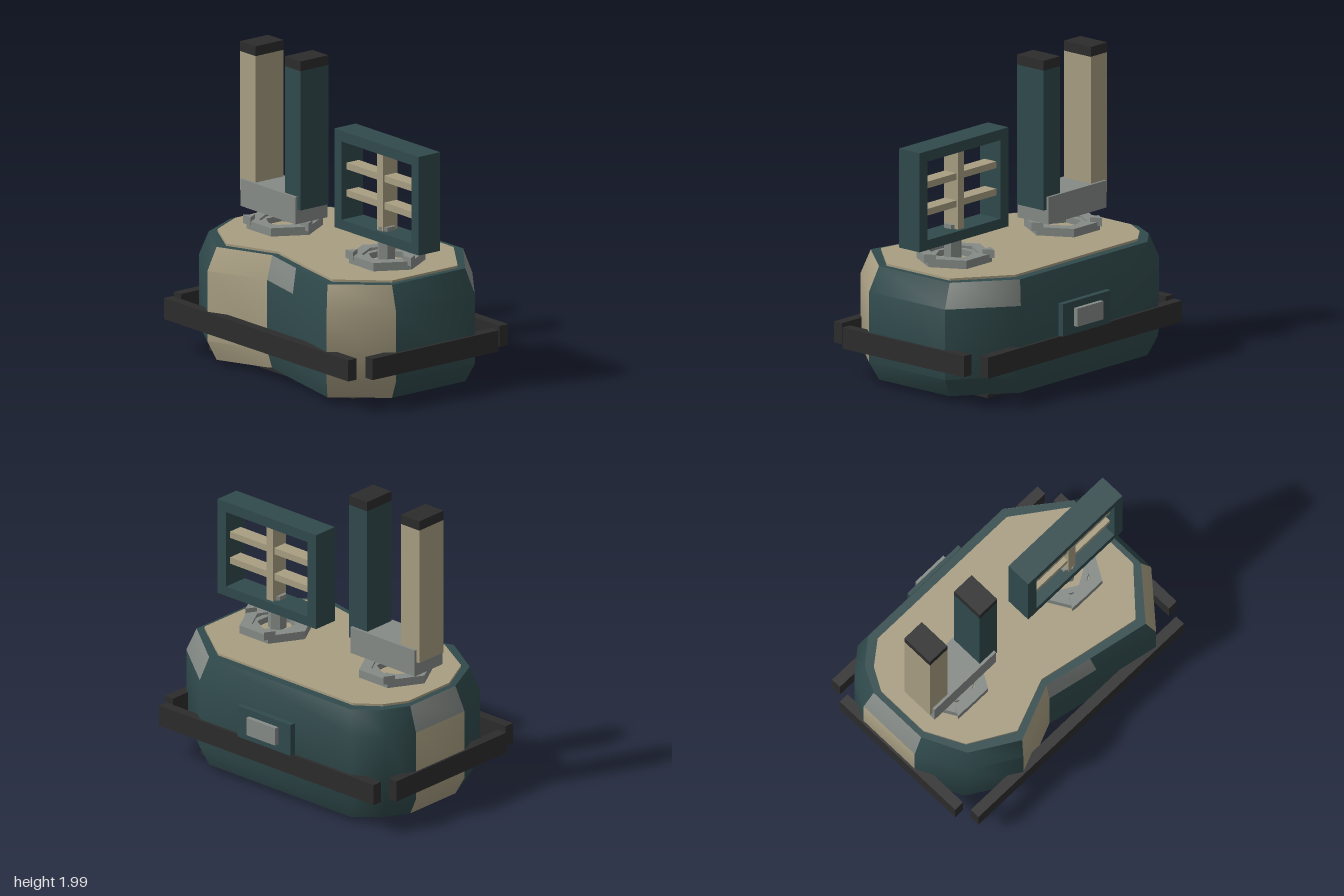
import * as THREE from 'three';
import { toCreasedNormals } from 'three/addons/utils/BufferGeometryUtils.js';

const material = (name, color) => {
  const m = new THREE.MeshStandardMaterial({ color });
  m.name = name;
  return m;
};

// Body outline in x, z, running round from the left end across the back
const OUTLINE = [
  [-0.985, -0.3], [-0.89, -0.48], [-0.72, -0.62], [0.59, -0.62], [0.98, -0.32], [0.98, 0.33],
  [0.69, 0.665], [0.24, 0.575], [-0.11, 0.5], [-0.51, 0.665], [-0.84, 0.465], [-0.985, 0.16],
];
// Body levels: height and scale of the outline
const LEVELS = [[0.04, 0.93], [0.165, 1], [0.63, 1], [0.79, 0.93]];

export function createModel() {
  const model = new THREE.Group();
  const teal = material('teal', 0x304a4c);
  const tan = material('tan', 0xa89e82);
  const grey = material('grey', 0x858b87);
  const dark = material('charcoal', 0x2c2c2c);

  const add = (name, geometry, mat, parent = model) => {
    const mesh = new THREE.Mesh(geometry, mat);
    mesh.name = name;
    parent.add(mesh);
    return mesh;
  };
  // Box given by its limits on each axis
  const box = (name, mat, [x0, x1], [y0, y1], [z0, z1], parent) => {
    const g = new THREE.BoxGeometry(x1 - x0, y1 - y0, z1 - z0);
    g.translate((x0 + x1) / 2, (y0 + y1) / 2, (z0 + z1) / 2);
    return add(name, g, mat, parent);
  };
  // Flat slab: a shape in x, z that hangs down from height top
  const slab = (shape, top, depth) => {
    const g = new THREE.ExtrudeGeometry(shape, { depth, bevelEnabled: false });
    return g.rotateX(Math.PI / 2).translate(0, top, 0);
  };
  const outlineShape = (sx, sz) =>
    new THREE.Shape(OUTLINE.map(([x, z]) => new THREE.Vector2(x * sx, z * sz)));
  const hexPoints = (r, turn = 0) => Array.from({ length: 6 }, (_, i) => {
    const a = (i * Math.PI) / 3 + turn;
    return new THREE.Vector2(r * Math.cos(a), r * Math.sin(a));
  });
  const hexRing = (outer, inner, top, depth, turn) => {
    const shape = new THREE.Shape(hexPoints(outer, turn));
    shape.holes.push(new THREE.Path(hexPoints(inner, turn)));
    return slab(shape, top, depth);
  };

  // Body walls, with coloured panels by segment
  const tanSegments = [5, 8, 11];
  const greyBevels = [3, 7, 11];
  const positions = [];
  const bodyGeo = new THREE.BufferGeometry();
  const corner = (i, l) => {
    const [x, z] = OUTLINE[i % OUTLINE.length];
    const [y, s] = LEVELS[l];
    return [x * s, y, z * s];
  };
  for (let l = 0; l < LEVELS.length - 1; l++) {
    OUTLINE.forEach((_, i) => {
      const a = corner(i, l), b = corner(i + 1, l), c = corner(i + 1, l + 1), d = corner(i, l + 1);
      const slot = l === 2 && greyBevels.includes(i) ? 2 : tanSegments.includes(i) ? 1 : 0;
      bodyGeo.addGroup(positions.length / 3, 6, slot);
      positions.push(...a, ...d, ...c, ...a, ...c, ...b);
    });
  }
  bodyGeo.setAttribute('position', new THREE.Float32BufferAttribute(positions, 3));
  add('bodyShell', toCreasedNormals(bodyGeo, 0.95), [teal, tan, grey]);
  add('bodyTop', slab(outlineShape(0.93, 0.93), 0.79, 0.01), teal);
  add('bodyBottom', slab(outlineShape(0.93, 0.93), 0.05, 0.01), teal);
  add('deck', slab(outlineShape(0.89, 0.835), 0.805, 0.02), tan);

  // Underside plate and three feet
  box('basePlate', dark, [-0.73, 0.73], [0.02, 0.045], [-0.46, 0.47]);
  for (const [x, z] of [[-0.485, 0.2], [0.485, 0.2], [0, -0.3]]) {
    add('footRing', hexRing(0.18, 0.11, 0.025, 0.025), grey).position.set(x, 0, z);
  }

  // Bumper bars
  const barY = [0.22, 0.36];
  box('frontBumper', dark, [-0.93, 0.925], barY, [0.61, 0.68]);
  box('backBumper', dark, [-0.93, 0.925], barY, [-0.64, -0.57]);
  box('rightBumper', dark, [-1, -0.93], barY, [-0.5, 0.54]);
  box('leftBumper', dark, [0.93, 1], barY, [-0.5, 0.54]);

  // Back hatch
  box('hatch', teal, [-0.23, 0.23], [0.36, 0.575], [-0.66, -0.6]);
  box('hatchPlate', grey, [-0.125, 0.125], [0.41, 0.53], [-0.69, -0.64]);

  // Two hexagonal mounts with three triangular lugs each
  for (const [name, x] of [['rightMount', -0.52], ['leftMount', 0.512]]) {
    const mount = new THREE.Group();
    mount.name = name;
    mount.position.set(x, 0, 0.02);
    add('mountRing', hexRing(0.247, 0.165, 0.86, 0.055), grey, mount);
    add('innerRing', hexRing(0.17, 0.125, 0.845, 0.04, Math.PI / 6), grey, mount);
    for (let i = 0; i < 3; i++) {
      const a = (i * Math.PI * 2) / 3;
      const lug = new THREE.CylinderGeometry(0.045, 0.045, 0.055, 3, 1, false, Math.PI);
      add('lug', toCreasedNormals(lug, 0.5), grey, mount)
        .position.set(0.227 * Math.cos(a), 0.862, 0.227 * Math.sin(a));
    }
    model.add(mount);
  }

  // Twin posts on a cradle
  const posts = new THREE.Group();
  posts.name = 'twinPosts';
  box('cradle', grey, [-0.8, -0.245], [0.905, 1.085], [-0.11, 0.155], posts);
  for (const [x0, mat] of [[-0.825, tan], [-0.375, teal]]) {
    const x = [x0, x0 + 0.157], z = [-0.093, 0.137];
    box('post', mat, x, [1, 1.925], z, posts);
    box('postCap', dark, x, [1.925, 1.99], z, posts);
  }
  model.add(posts);

  // Lattice panel on a stem
  const panel = new THREE.Group();
  panel.name = 'latticePanel';
  const stem = new THREE.CylinderGeometry(0.06, 0.06, 0.235, 6);
  add('stem', toCreasedNormals(stem, 0.5), grey, panel).position.set(0.515, 0.93, 0.03);
  const depth = [-0.067, 0.11];
  box('frameTop', teal, [0.09, 0.94], [1.54, 1.61], depth, panel);
  box('frameBottom', teal, [0.09, 0.94], [0.955, 1.02], depth, panel);
  box('frameSide', teal, [0.09, 0.165], [1.02, 1.54], depth, panel);
  box('frameSide', teal, [0.867, 0.94], [1.02, 1.54], depth, panel);
  box('upright', tan, [0.485, 0.545], [1.02, 1.54], [-0.04, 0.08], panel);
  for (const y of [1.19, 1.37]) {
    box('slat', tan, [0.165, 0.867], [y - 0.022, y + 0.022], [-0.03, 0.07], panel);
  }
  model.add(panel);

  return model;
}
